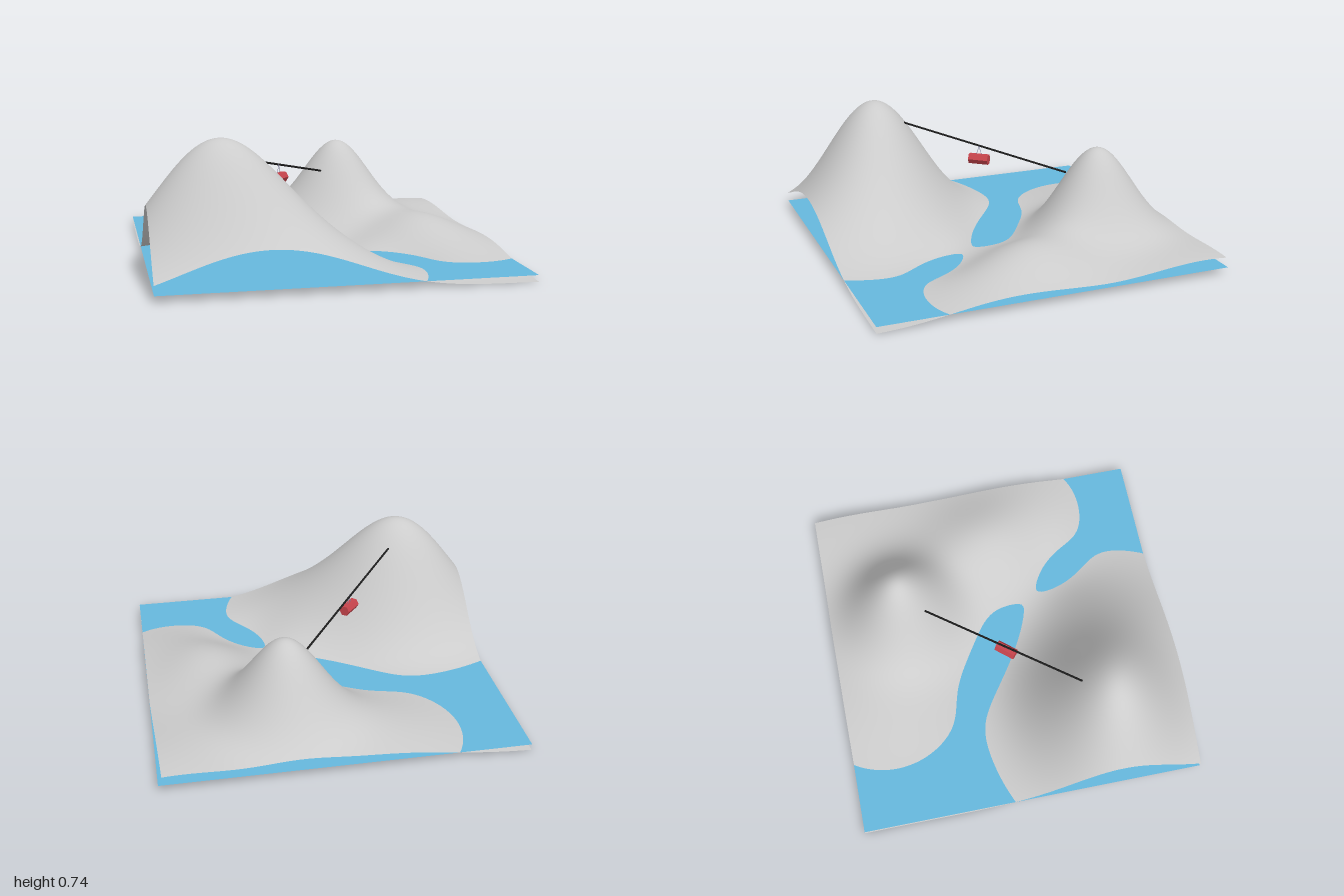
import * as THREE from 'three';

// Hills and hollows: centre x, z, height, spread in x, spread in z
const HILLS = [
  [-0.65, 0.5, 0.67, 0.22, 0.16],    // main peak
  [-0.2, 0.75, 0.21, 0.24, 0.24],    // its shoulder
  [0.27, -0.55, 0.515, 0.085, 0.088], // second peak
  [-0.2, -0.75, 0.1, 0.24, 0.24],    // back lowland
  [0.62, 0, 0.17, 0.11, 0.15],       // small hill
  [0.88, 0.38, 0.06, 0.14, 0.14],    // side lowland
  [0.9, -0.85, 0.1, 0.3, 0.3],       // far corner rise
  [-0.1, 0, -0.05, 0.15, 0.15],      // strait
  [0.38, 0.42, -0.05, 0.06, 0.06],   // strait, front part
];
const WATER_LEVEL = 0.04;

function heightAt(x, z) {
  let h = 0;
  for (const [cx, cz, a, kx, kz] of HILLS) {
    h += a * Math.exp(-((x - cx) ** 2) / kx - ((z - cz) ** 2) / kz);
  }
  return Math.max(0, h);
}

function rod(name, a, b, radius, material) {
  const dir = b.clone().sub(a);
  const mesh = new THREE.Mesh(new THREE.CylinderGeometry(radius, radius, dir.length(), 8), material);
  mesh.name = name;
  mesh.position.copy(a).add(b).multiplyScalar(0.5);
  mesh.quaternion.setFromUnitVectors(new THREE.Vector3(0, 1, 0), dir.normalize());
  return mesh;
}

export function createModel() {
  const group = new THREE.Group();
  group.name = 'islandsWithCableCar';
  const black = new THREE.MeshStandardMaterial({ color: 0x1c1c1c });
  const red = new THREE.MeshStandardMaterial({ color: 0xc8444c, flatShading: true });

  // Terrain sheet, raised by the height rule
  const ground = new THREE.PlaneGeometry(2, 2, 140, 140).rotateX(-Math.PI / 2);
  const p = ground.attributes.position;
  for (let i = 0; i < p.count; i++) {
    const x = p.getX(i), z = p.getZ(i);
    const inset = 0.02 * Math.max(0, x) * Math.max(0, (-z - 0.25) / 0.75);
    p.setXYZ(i, x - inset, heightAt(x, z), z);
  }
  ground.computeVertexNormals();
  const terrain = new THREE.Mesh(ground,
    new THREE.MeshStandardMaterial({ color: 0xcccccc, side: THREE.DoubleSide }));
  terrain.name = 'terrain';
  group.add(terrain);

  // Water sheet
  const water = new THREE.Mesh(new THREE.PlaneGeometry(2, 2).rotateX(-Math.PI / 2),
    new THREE.MeshStandardMaterial({ color: 0x66b8dd, side: THREE.DoubleSide }));
  water.name = 'water';
  water.position.y = WATER_LEVEL;
  group.add(water);

  // Cable between the peaks
  const start = new THREE.Vector3(-0.52, 0.615, 0.36);
  const end = new THREE.Vector3(0.14, 0.4, -0.42);
  group.add(rod('cable', start, end, 0.006, black));

  // Hanging cabin: six-sided body on a V-shaped hanger
  const cableCar = new THREE.Group();
  cableCar.name = 'cableCar';
  cableCar.position.set(-0.2, 0.434, -0.005);
  cableCar.rotation.y = Math.atan2(end.x - start.x, end.z - start.z);
  const body = new THREE.Mesh(
    new THREE.CylinderGeometry(0.032, 0.032, 0.12, 6).rotateX(Math.PI / 2).rotateZ(Math.PI / 6), red);
  body.name = 'cabin';
  cableCar.add(body);
  const grey = new THREE.MeshStandardMaterial({ color: 0x8888aa });
  for (const s of [-1, 1]) {
    cableCar.add(rod('hanger', new THREE.Vector3(0, 0.026, s * 0.016),
      new THREE.Vector3(0, 0.08, 0), 0.0015, grey));
  }
  group.add(cableCar);
  return group;
}
